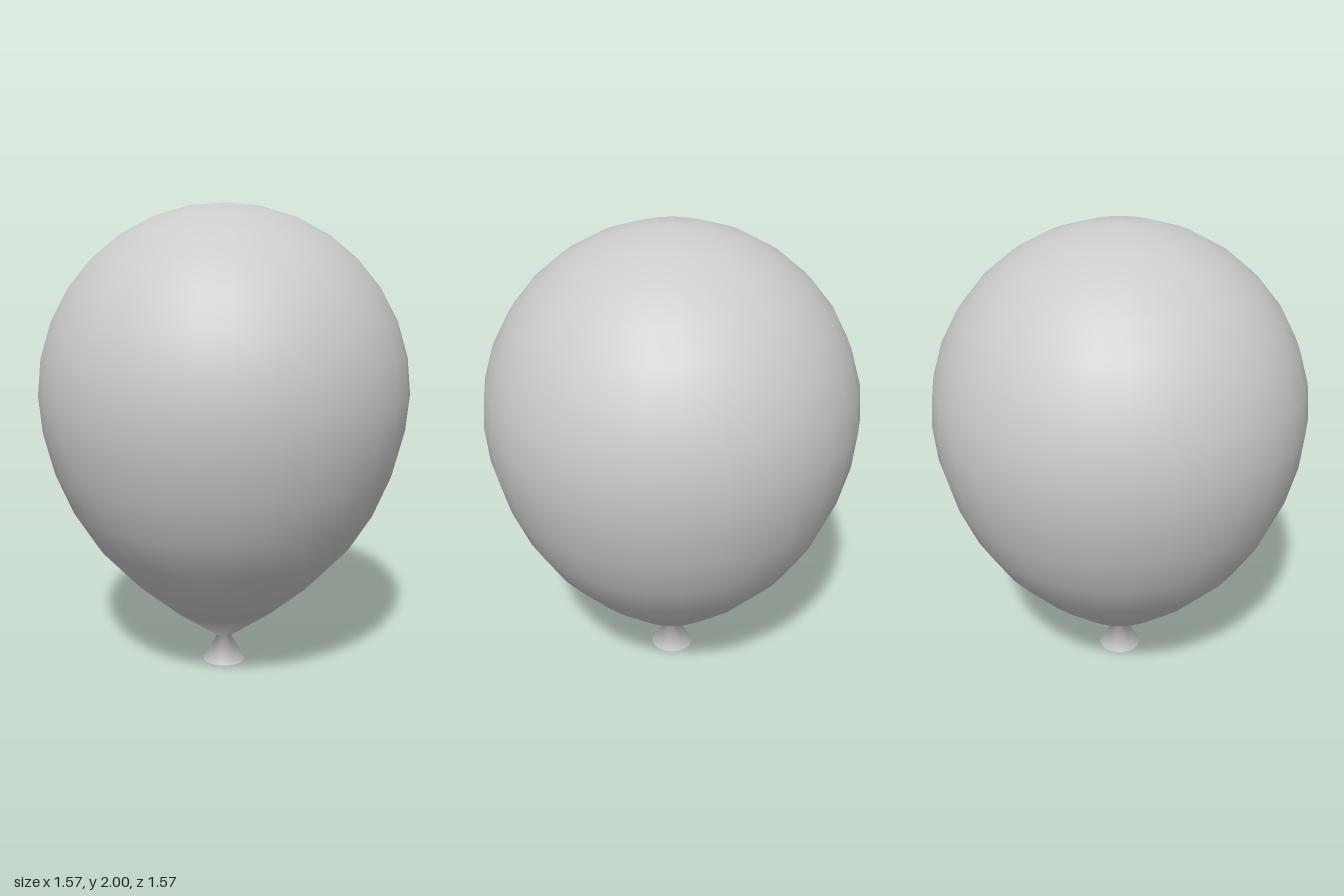
import * as THREE from 'three';

const SEGMENTS = 32;
const RADIUS = 0.785;
const WIDEST_Y = 1.215;

export function createModel() {
  const group = new THREE.Group();
  group.name = 'balloon';
  const material = new THREE.MeshStandardMaterial({ color: 0xcccccc });

  // Hollow underside of the knot, its flared skirt, then the pinched neck
  const profile = [
    [0, 0.045], [0.06, 0.04], [0.092, 0], [0.03, 0.11],
    // Tapering lower body
    [0.235, 0.255], [0.4, 0.395], [0.555, 0.56],
    [0.653, 0.715], [0.725, 0.885], [0.77, 1.06],
  ].map(([r, y]) => new THREE.Vector2(r, y));

  // Round upper body
  for (let i = 0; i <= 8; i++) {
    const a = (i / 8) * Math.PI / 2;
    const r = i === 8 ? 0 : RADIUS * Math.cos(a);
    profile.push(new THREE.Vector2(r, WIDEST_Y + RADIUS * Math.sin(a)));
  }

  const skin = new THREE.Mesh(new THREE.LatheGeometry(profile, SEGMENTS), material);
  skin.name = 'balloonSkin';
  group.add(skin);
  return group;
}
